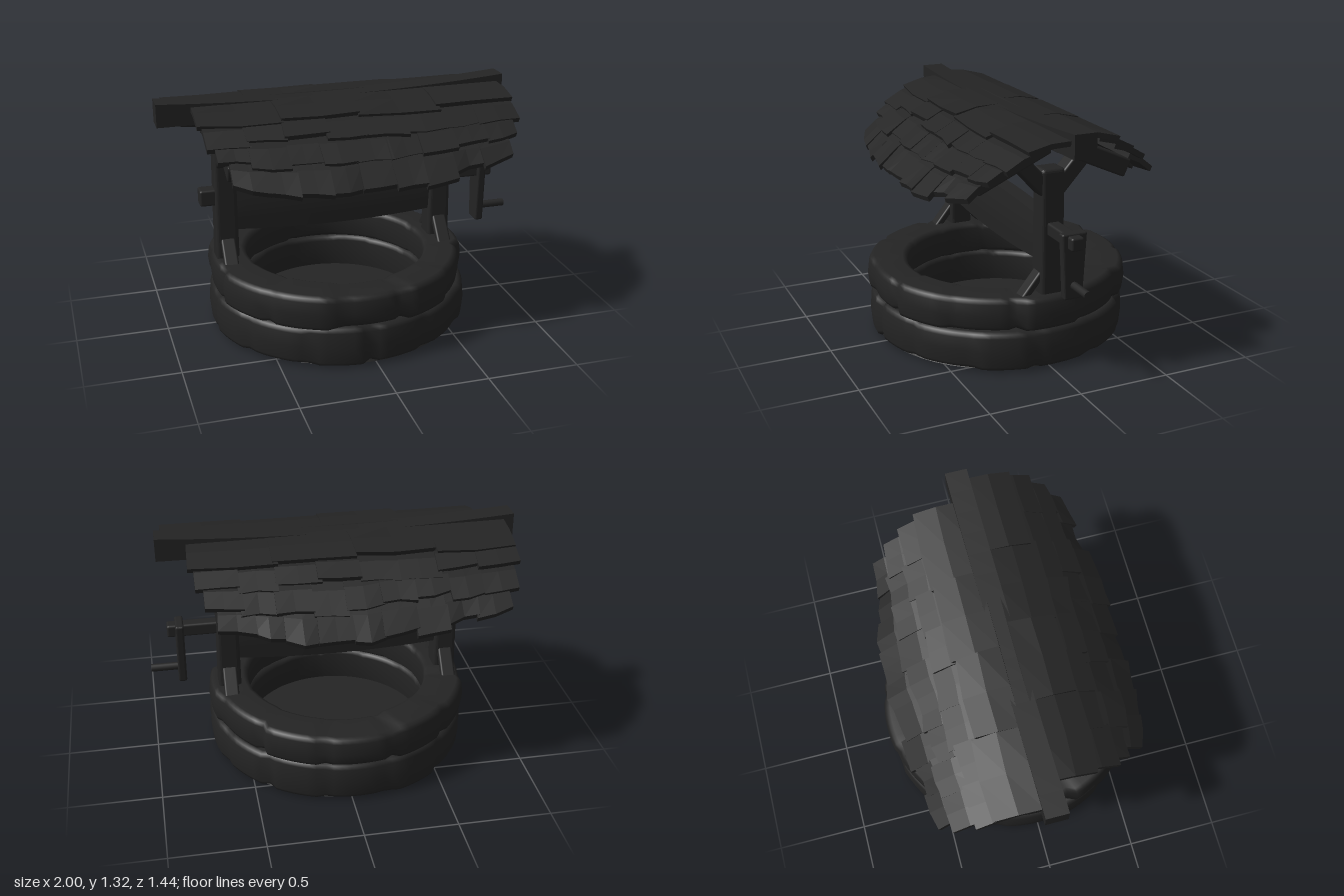
import * as THREE from 'three';
import { mergeVertices } from 'three/addons/utils/BufferGeometryUtils.js';
import { RoundedBoxGeometry } from 'three/addons/geometries/RoundedBoxGeometry.js';

export function createModel() {
  const well = new THREE.Group();
  well.name = 'well';
  const dark = new THREE.MeshStandardMaterial({ color: 0x242424 });
  dark.name = 'charcoal';
  const ZC = -0.02; // line of posts and ridge

  let seed = 11;
  const rand = () => (seed = (seed * 16807) % 2147483647) / 2147483647;
  const jit = (a) => (rand() * 2 - 1) * a;

  function add(name, geo, x = 0, y = 0, z = 0, parent = well) {
    const m = new THREE.Mesh(geo, dark);
    m.name = name;
    m.position.set(x, y, z);
    parent.add(m);
    return m;
  }
  function reshape(geo, rule) {
    const p = geo.attributes.position, v = new THREE.Vector3();
    for (let i = 0; i < p.count; i++) {
      rule(v.fromBufferAttribute(p, i));
      p.setXYZ(i, v.x, v.y, v.z);
    }
    geo.computeVertexNormals();
    return geo;
  }
  const block = (w, h, d, r = 0.012) => new RoundedBoxGeometry(w, h, d, 2, r);
  // timber running between two points in a plane of constant x
  function timber(name, x, a, b, w, thick) {
    const dz = b[0] - a[0], dy = b[1] - a[1];
    const m = add(name, block(w, thick, Math.hypot(dz, dy)), x, (a[1] + b[1]) / 2, ZC + (a[0] + b[0]) / 2);
    m.rotation.x = -Math.atan2(dy, dz);
  }

  // Stone courses: rounded rings with a joint groove and uneven size per stone
  function course(name, y0, y1, rOut, count, phase) {
    const rIn = 0.5, b = 0.03;
    const pts = [[rOut - b, y0], [rOut - 0.008, y0 + 0.012], [rOut, y0 + b], [rOut + 0.008, (y0 + y1) / 2],
      [rOut, y1 - b], [rOut - 0.01, y1 - 0.01], [rOut - b, y1], [rIn + b, y1], [rIn + 0.008, y1 - 0.01],
      [rIn, y1 - b], [rIn, y0 + b], [rIn + b, y0], [rOut - b, y0]].map((p) => new THREE.Vector2(...p));
    let geo = new THREE.LatheGeometry(pts, 96);
    geo.deleteAttribute('uv');
    geo.deleteAttribute('normal');
    geo = mergeVertices(geo, 1e-4);
    const sizes = Array.from({ length: count }, () => [jit(0.014), jit(0.008)]);
    const mid = (y0 + y1) / 2;
    reshape(geo, (v) => {
      const t = ((Math.atan2(v.x, v.z) / (2 * Math.PI) + 1 + phase) % 1) * count;
      const [dr, dy] = sizes[Math.floor(t) % count];
      const groove = Math.max(0, 1 - Math.min(t % 1, 1 - (t % 1)) * 9);
      const r = Math.hypot(v.x, v.z);
      const k = r > 0.6 ? 1 + (dr - groove * 0.018) / r : 1;
      v.x *= k;
      v.z *= k;
      v.y += (dy - groove * 0.008) * Math.sign(v.y - mid);
    });
    add(name, geo, -0.035);
  }
  course('lowerStones', 0.013, 0.235, 0.715, 13, 0);
  course('upperStones', 0.225, 0.412, 0.705, 12, 0.04);
  add('wellFloor', new THREE.CylinderGeometry(0.66, 0.68, 0.035, 48), -0.035, 0.0325);

  // Posts with foot braces, fork braces and rafters
  for (const x of [-0.65, 0.575]) {
    const post = reshape(block(0.12, 0.74, 0.13, 0.02), (v) => { v.x *= 1 - v.y * 0.15; });
    add('post', post, x, 0.71, ZC);
    for (const s of [-1, 1]) {
      timber('footBrace', x, [s * 0.16, 0.38], [s * 0.03, 0.54], 0.08, 0.04);
      timber('forkBrace', x, [s * 0.015, 0.95], [s * 0.17, 1.12], 0.1, 0.085);
      timber('rafter', x, [s * 0.03, 1.21], [s * 0.43, 1.03], 0.11, 0.1);
    }
  }

  // Ridge beam, sagging and thinner in the middle
  const ridge = new THREE.BoxGeometry(1.93, 0.125, 0.12, 16, 1, 1).toNonIndexed();
  add('ridgeBeam', reshape(ridge, (v) => {
    const e = (v.x / 0.965) ** 2;
    v.y = v.y * (0.75 + 0.25 * e) + 0.02 * e + 0.006 * v.x;
    v.z -= 0.012 * v.x;
  }), -0.035, 1.243, ZC);

  // Winding board, swelling in the middle
  const board = new THREE.BoxGeometry(1.14, 0.24, 0.1, 16, 4, 4);
  add('windingBoard', reshape(board, (v) => {
    const k = 1 - (v.x / 0.57) ** 2;
    v.y *= 1 + 0.2 * k;
    v.z *= (1 + 0.15 * k) * (1 - 1.5 * Math.abs(v.y));
  }), -0.04, 0.692, ZC);

  // Axle and crank
  add('axleStub', block(0.14, 0.09, 0.085), -0.72, 0.765, ZC);
  add('axle', block(0.32, 0.07, 0.07), 0.74, 0.765, ZC);
  add('crankArm', reshape(block(0.045, 0.35, 0.12, 0.01), (v) => { v.z *= 1 + v.y * 0.9; }), 0.833, 0.635, ZC - 0.005);
  const handle = add('crankHandle', new THREE.CylinderGeometry(0.021, 0.021, 0.18, 12), 0.91, 0.535, ZC - 0.005);
  handle.rotation.z = Math.PI / 2;

  // Roof: overlapping shingle rows; eaves hang lowest at the middle
  // each row: name, x range, count, top [z, y], bottom [z, y], lift at the ends
  const rows = [
    ['ridgeShingle', -0.82, 0.89, 4, [0.03, 1.28], [0.28, 1.235], 0],
    ['upperShingle', -0.8, 0.88, 8, [0.19, 1.245], [0.39, 1.16], 0.01],
    ['middleShingle', -0.76, 0.85, 9, [0.3, 1.185], [0.51, 1.06], 0.04],
    ['eaveShingle', -0.7, 0.79, 9, [0.42, 1.105], [0.62, 0.945], 0.09],
  ];
  function roofSide(name) {
    const side = new THREE.Group();
    side.name = name;
    for (const [label, x0, x1, count, top, bottom, lift] of rows) {
      const step = (x1 - x0) / count;
      for (let i = 0; i < count; i++) {
        const xa = x0 + i * step - (i ? 0.008 : 0), xb = xa + step + 0.012;
        const dz = jit(0.022), dy = jit(0.012), skew = jit(0.02), wear = [jit(0.012), jit(0.012), jit(0.012)];
        const geo = new THREE.BoxGeometry(1, 1, 1, 2, 1, 2).toNonIndexed();
        add(label, reshape(geo, (v) => {
          const u = v.x + 0.5, w = v.z + 0.5, h = v.y;
          const x = xa + (xb - xa) * u + skew * w * (u - 0.5);
          const end = Math.min(1, (x / 0.8) ** 2) * lift * w;
          const ragged = wear[Math.round(u * 2)] * w;
          const z = top[0] + (bottom[0] - top[0] + dz) * w - end + ragged;
          const y = top[1] + (bottom[1] - top[1] - dz * 0.5) * w + end + dy * w - ragged * 0.5;
          v.set(x, y + h * 0.026 + 0.012 * Math.sin(w * Math.PI), z + h * 0.012);
        }), 0, 0, 0, side);
      }
    }
    well.add(side);
    return side;
  }
  roofSide('frontRoof').position.z = ZC;
  const back = roofSide('backRoof');
  back.rotation.y = Math.PI;
  back.position.set(-0.05, 0, ZC);

  return well;
}
